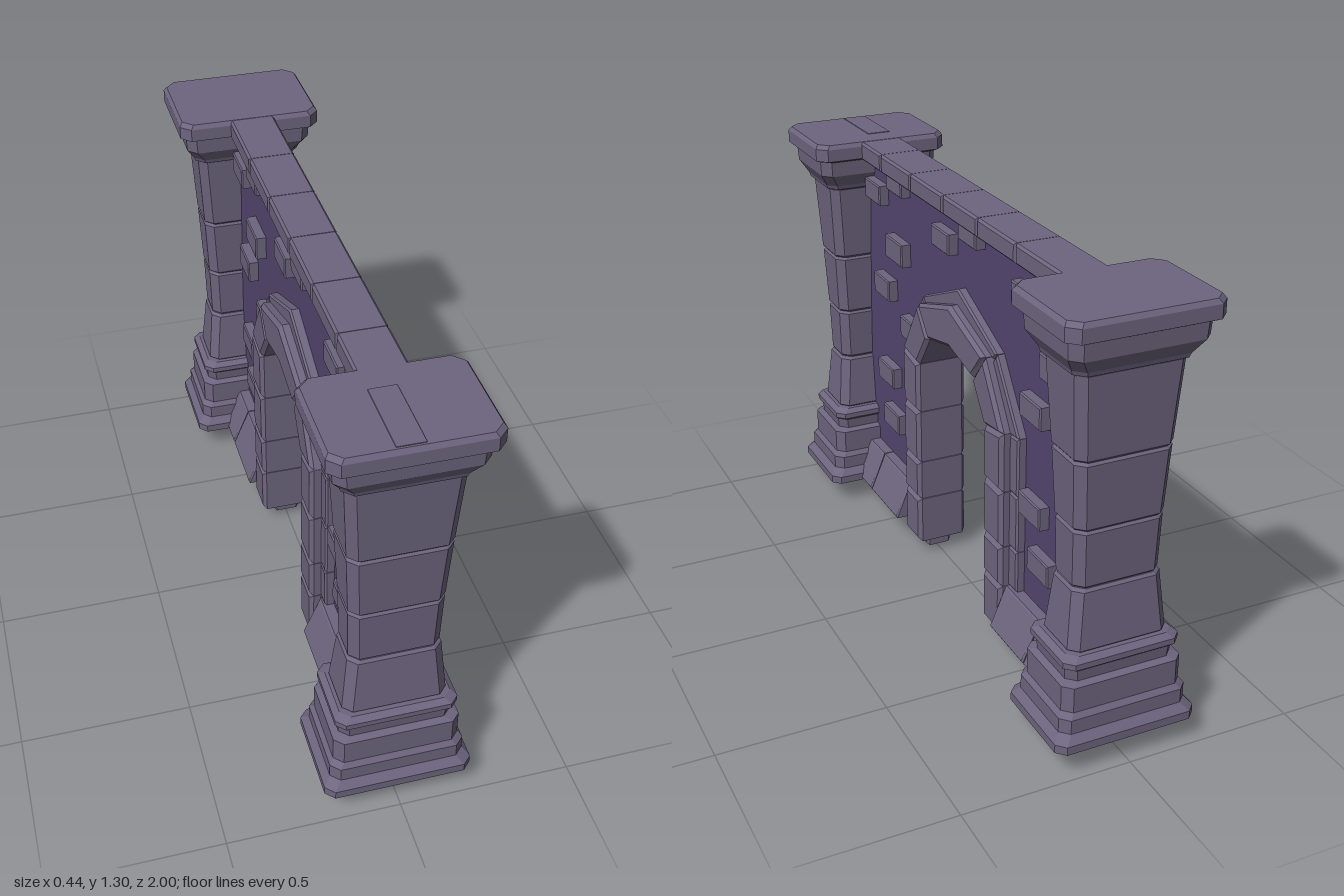
import * as THREE from 'three';

const stone = new THREE.MeshStandardMaterial({ color: 0x6e657f });
stone.name = 'stone';
const mortar = new THREE.MeshStandardMaterial({ color: 0x54466e });
mortar.name = 'purple wall';

// Slab with its outline in (z, y), running from x0 to x1, with chamfered edges
function slab(name, pts, x0, x1, bevel = 0, material = stone) {
  const shape = new THREE.Shape(pts.map(([z, y]) => new THREE.Vector2(z, y)));
  const geo = new THREE.ExtrudeGeometry(shape, {
    depth: x1 - x0 - 2 * bevel, bevelEnabled: bevel > 0, bevelSize: bevel,
    bevelThickness: bevel, bevelOffset: -bevel, bevelSegments: 1,
  });
  geo.translate(0, 0, bevel - x1);
  geo.rotateY(-Math.PI / 2);
  const mesh = new THREE.Mesh(geo, material);
  mesh.name = name;
  return mesh;
}

const rect = (z0, z1, y0, y1) => [[z0, y0], [z1, y0], [z1, y1], [z0, y1]];
const flip = (pts, s) => pts.map(([z, y]) => [z * s, y]);

// Stack of chamfered rectangles, rings given as [y, half width in x]
function loft(rings, inset, c) {
  const loops = rings.map(([y, a]) => {
    const b = a - inset;
    return [[a, -b + c], [a, b - c], [a - c, b], [-a + c, b], [-a, b - c], [-a, -b + c], [-a + c, -b], [a - c, -b]]
      .map(([x, z]) => [x, y, z]);
  });
  const out = [];
  const last = loops[loops.length - 1];
  const bottom = [0, rings[0][0], 0], top = [0, rings[rings.length - 1][0], 0];
  for (let j = 0; j < 8; j++) {
    const k = (j + 1) % 8;
    for (let i = 0; i < loops.length - 1; i++) {
      const a = loops[i][j], b = loops[i][k], c2 = loops[i + 1][k], d = loops[i + 1][j];
      out.push(a, d, c2, a, c2, b);
    }
    out.push(bottom, loops[0][j], loops[0][k], top, last[k], last[j]);
  }
  const geo = new THREE.BufferGeometry();
  geo.setAttribute('position', new THREE.Float32BufferAttribute(out.flat(), 3));
  geo.computeVertexNormals();
  return geo;
}

function makePillar() {
  const g = new THREE.Group();
  const add = (name, rings, inset, chamfer) => {
    const m = new THREE.Mesh(loft(rings, inset, chamfer), stone);
    m.name = name;
    g.add(m);
  };
  // Stepped foot
  add('pillarBase', [[0.075, 0.212], [0.1, 0.212], [0.123, 0.192], [0.165, 0.192], [0.18, 0.18],
    [0.255, 0.18], [0.262, 0.16], [0.295, 0.163], [0.305, 0.174], [0.322, 0.174], [0.335, 0.157]], 0.058, 0.025);
  // Waisted shaft of four blocks with recessed joints
  const blocks = [[0.335, 0.51, 0.148, 0.132], [0.515, 0.68, 0.128, 0.132],
    [0.685, 0.88, 0.133, 0.142], [0.885, 1.13, 0.143, 0.157]];
  for (const [y0, y1, a, b] of blocks) {
    add('shaftBlock', [[y0 - 0.003, a - 0.007], [y0 + 0.005, a], [y1 - 0.005, b], [y1 + 0.003, b - 0.007]], 0.059, 0.025);
  }
  // Flared capital and top slab
  add('capital', [[1.125, 0.155], [1.132, 0.168], [1.145, 0.172], [1.185, 0.197], [1.235, 0.2], [1.242, 0.19]], 0.058, 0.028);
  add('capSlab', [[1.235, 0.205], [1.243, 0.221], [1.282, 0.221], [1.295, 0.212]], 0.056, 0.03);
  return g;
}

// Bricks and footing on one face of the wall
function makeFace() {
  const g = new THREE.Group();
  const bricks = [[0.58, 0.705, 1.105, 1.17], [0.4, 0.52, 1.18, 1.237], [0.045, 0.17, 1.105, 1.17],
    [-0.14, -0.025, 1.18, 1.237], [-0.495, -0.365, 1.105, 1.17], [-0.675, -0.56, 1.18, 1.237],
    [0.405, 0.54, 0.95, 1.025], [-0.67, -0.535, 0.95, 1.025], [0.52, 0.645, 0.795, 0.865],
    [-0.55, -0.425, 0.795, 0.865], [0.335, 0.425, 0.715, 0.785], [-0.76, -0.65, 0.715, 0.785],
    [0.5, 0.63, 0.49, 0.56], [-0.555, -0.425, 0.49, 0.56], [0.46, 0.59, 0.335, 0.405],
    [-0.61, -0.485, 0.335, 0.405]];
  for (const b of bricks) g.add(slab('wallBrick', rect(...b), 0.005, 0.056, 0.004));

  // Sloping footing stones
  for (const [z0, z1] of [[0.36, 0.589], [0.593, 0.72], [-0.573, -0.36], [-0.72, -0.577]]) {
    const m = slab('footingStone', rect(z0, z1, 0.08, 0.208), 0, 0.112, 0.005);
    const p = m.geometry.attributes.position;
    for (let i = 0; i < p.count; i++) {
      const t = (p.getY(i) - 0.08) / 0.128;
      p.setX(i, p.getX(i) * (1 - 0.48 * t));
    }
    m.geometry.computeVertexNormals();
    g.add(m);
  }
  return g;
}

function makeArch() {
  const g = new THREE.Group();
  // Thick inner stones and a thinner outer band behind them
  const core = (name, pts) => g.add(slab(name, pts, -0.086, 0.081, 0.012));
  const band = (name, pts) => g.add(slab(name, pts, -0.052, 0.05, 0.006));
  const courses = [[0.048, 0.207], [0.209, 0.342], [0.344, 0.522], [0.524, 0.69]];
  for (const s of [1, -1]) {
    // Door posts
    for (const [y0, y1] of courses) {
      const lift = y1 === 0.69 ? 0.018 : 0;
      core('postBlock', flip([[0.241, y0], [0.356, y0], [0.356, y1 + lift], [0.241, y1]], s));
      band('postBand', flip([[0.255, y0], [0.403, y0], [0.403, y1 + lift], [0.255, y1]], s));
    }
    g.add(slab('postFoot', flip([[0.265, 0.012], [0.387, 0], [0.403, 0.012], [0.403, 0.08], [0.265, 0.08]], s),
      -0.042, 0.042, 0.008));
    // Leaning arch stones
    core('archStone', flip([[0.241, 0.691], [0.356, 0.709], [0.236, 0.896], [0.16, 0.804]], s));
    band('archBand', flip([[0.252, 0.691], [0.403, 0.709], [0.26, 0.91], [0.173, 0.81]], s));
  }
  // Peaked crown
  core('archCrown', [[0.159, 0.805], [0.235, 0.897], [0, 0.972], [-0.235, 0.897], [-0.159, 0.805], [0, 0.839]]);
  band('archCrownBand', [[0.172, 0.811], [0.259, 0.911], [0, 1.02], [-0.259, 0.911], [-0.172, 0.811], [0, 0.855]]);
  return g;
}

export function createModel() {
  const model = new THREE.Group();
  model.name = 'archwayWall';

  // Wall panel with the doorway cut out
  model.add(slab('wallPanel', [[0.82, 0.085], [0.82, 1.25], [-0.82, 1.25], [-0.82, 0.085], [-0.32, 0.085], [-0.32, 0.7],
    [-0.21, 0.86], [0, 0.93], [0.2, 0.86], [0.31, 0.7], [0.31, 0.085]], -0.023, 0.023, 0, mortar));

  // The same relief on both faces, turned half around
  for (const side of [0, 1]) {
    const face = makeFace();
    face.name = side ? 'rightFace' : 'leftFace';
    face.rotation.y = side * Math.PI;
    model.add(face);
    const pillar = makePillar();
    pillar.name = side ? 'backPillar' : 'frontPillar';
    pillar.position.z = side ? -0.835 : 0.835;
    pillar.rotation.y = side * Math.PI;
    model.add(pillar);
  }

  const arch = makeArch();
  arch.name = 'arch';
  arch.position.z = -0.008;
  model.add(arch);

  // Coping stones along the top
  const cuts = [0.78, 0.515, 0.28, 0.042, -0.19, -0.425, -0.78];
  for (let i = 0; i < cuts.length - 1; i++) {
    model.add(slab('copingStone', rect(cuts[i + 1] + 0.001, cuts[i] - 0.001, 1.235, 1.294), -0.065, 0.075, 0.007));
  }
  // Thin raised stone at the end of the front cap
  model.add(slab('capInset', rect(0.76, 0.985, 1.28, 1.297), -0.058, 0.018, 0.001));
  return model;
}
